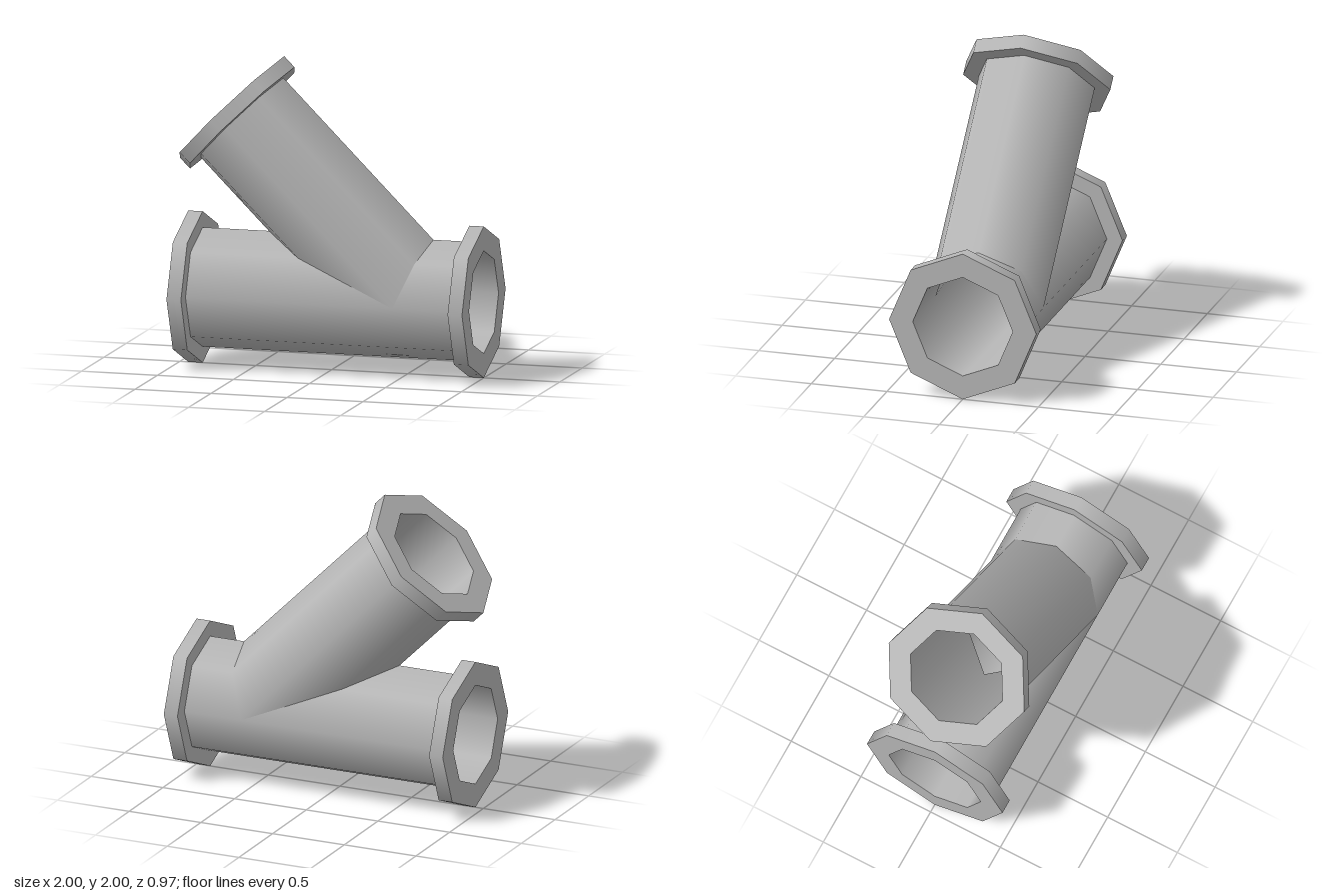
import * as THREE from 'three';

const SIDES = 8, STEP = Math.PI * 2 / SIDES;
const OUTER = 0.383, BORE = 0.33, RIM = 0.486, THICK = 0.095;

const grey = new THREE.MeshStandardMaterial({ color: 0xb8b8b8 });
grey.name = 'grey';

// Octagonal wall along x, from start(y) to end(y), over sides k0..k1, smooth radial normals
function wall(radius, start, end, inward = false, k0 = 0, k1 = SIDES) {
  const pos = [], nor = [], idx = [];
  const s = inward ? -1 : 1;
  for (let k = k0; k <= k1; k++) {
    const c = Math.cos(k * STEP), n = Math.sin(k * STEP);
    const y = radius * c, z = radius * n;
    pos.push(start(y), y, z, end(y), y, z);
    nor.push(0, s * c, s * n, 0, s * c, s * n);
    if (k < k1) {
      const a = (k - k0) * 2;
      if (inward) idx.push(a, a + 3, a + 2, a, a + 1, a + 3);
      else idx.push(a, a + 2, a + 3, a, a + 3, a + 1);
    }
  }
  const g = new THREE.BufferGeometry();
  g.setAttribute('position', new THREE.Float32BufferAttribute(pos, 3));
  g.setAttribute('normal', new THREE.Float32BufferAttribute(nor, 3));
  g.setIndex(idx);
  return g;
}

function add(parent, name, geometry) {
  const m = new THREE.Mesh(geometry, grey);
  m.name = name;
  parent.add(m);
  return m;
}

// Outside skin and bore of one pipe section
function pipe(parent, name, start, end, k0, k1) {
  add(parent, name + 'Outside', wall(OUTER, start, end, false, k0, k1));
  add(parent, name + 'Bore', wall(BORE, start, end, true, k0, k1));
}

// Octagonal collar with a hole, between x0 and x0 + THICK
function flange(parent, name, x0) {
  const g = new THREE.Group();
  g.name = name;
  const x1 = x0 + THICK;
  add(g, 'rim', wall(RIM, () => x0, () => x1));
  add(g, 'hole', wall(BORE, () => x0, () => x1, true));
  for (const [x, turn] of [[x0, -1], [x1, 1]]) {
    const face = new THREE.RingGeometry(BORE, RIM, SIDES, 1);
    face.rotateY(turn * Math.PI / 2);
    face.translate(x, 0, 0);
    add(g, 'face', face);
  }
  parent.add(g);
}

export function createModel() {
  const model = new THREE.Group();
  model.name = 'pipeBranch';
  const left = -1.36, right = 0.395, top = 1.555;
  const wide = 1 + Math.SQRT2, narrow = Math.SQRT2 - 1;

  // Straight run; its upper half is mitred open where the branch joins
  const run = new THREE.Group();
  run.name = 'straightRun';
  pipe(run, 'lowerHalf', () => left, () => right, 2, 6);
  pipe(run, 'upperLong', () => left, y => -wide * Math.max(y, 0), -2, 2);
  pipe(run, 'upperShort', y => narrow * Math.max(y, 0), () => right, -2, 2);
  flange(run, 'longEndFlange', left - THICK);
  flange(run, 'shortEndFlange', right);

  // Branch at 45 degrees, its foot cut along the two mitre planes
  const branch = new THREE.Group();
  branch.name = 'branch';
  pipe(branch, 'branchPipe', y => Math.SQRT2 * Math.abs(y) + y, () => top);
  flange(branch, 'branchFlange', top);
  branch.rotation.z = Math.PI * 0.75;

  for (const part of [run, branch]) {
    part.position.set(0.51, 0.486, 0);
    model.add(part);
  }
  return model;
}
